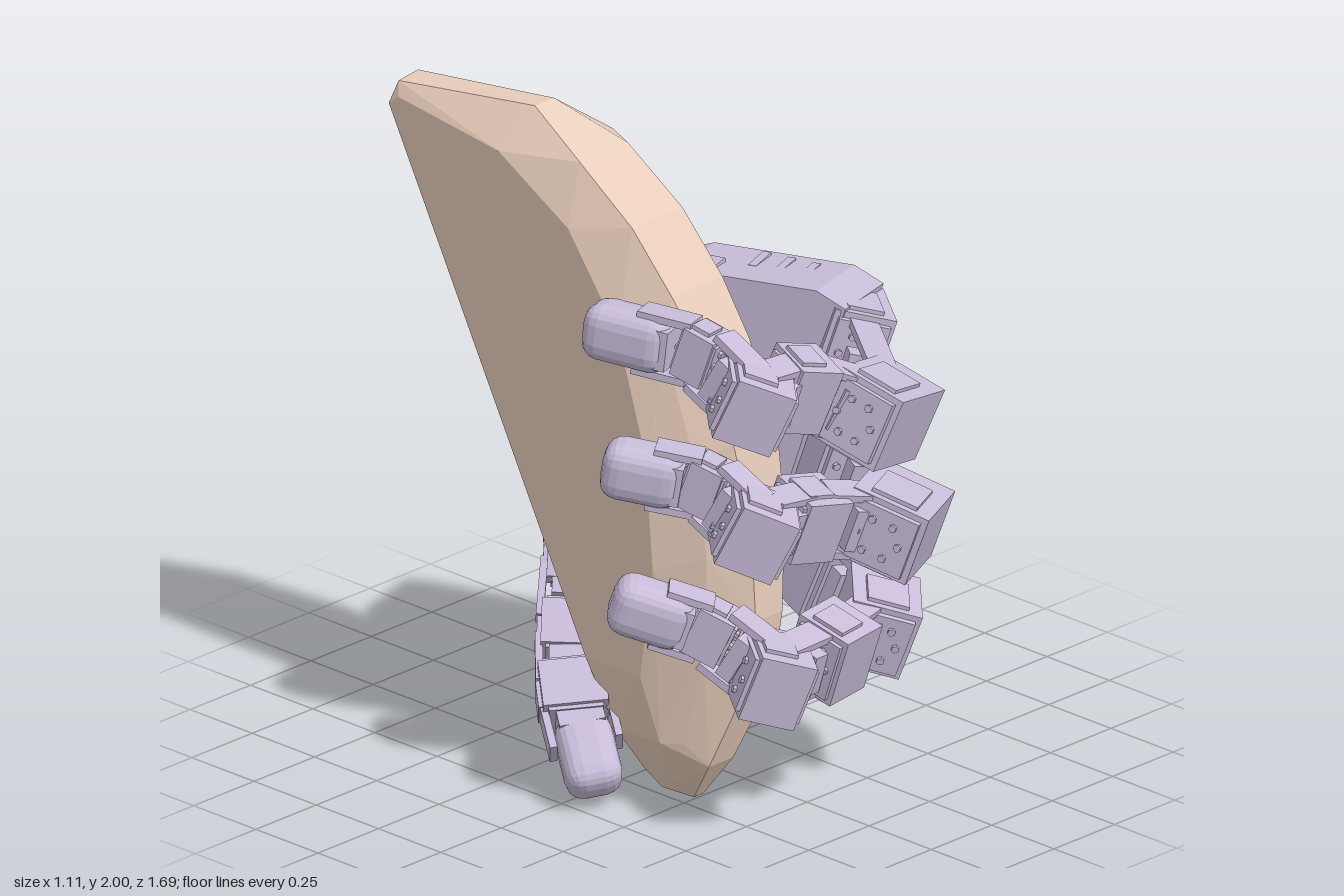
import * as THREE from 'three';
import { ConvexGeometry } from 'three/addons/geometries/ConvexGeometry.js';
import { RoundedBoxGeometry } from 'three/addons/geometries/RoundedBoxGeometry.js';

const lilac = new THREE.MeshStandardMaterial({ color: 0xc8bcd9, flatShading: true });
const tan = new THREE.MeshStandardMaterial({ color: 0xe8cdbb, flatShading: true });
const V = (a) => new THREE.Vector3(...a);

// directions of the palm: outward normal and the axis across the knuckles
const OUT = V([1, -0.074, -0.345]).normalize();
const ACROSS = V([0.156, 0.89, 0.26]).normalize();

function add(parent, name, geometry, material, pos = [0, 0, 0]) {
  const mesh = new THREE.Mesh(geometry, material);
  mesh.name = name;
  mesh.position.set(...pos);
  parent.add(mesh);
  return mesh;
}

// turn an object so its local z follows dir and its local y stays near up
function orient(object, pos, dir, up) {
  const z = dir.clone().normalize();
  const x = new THREE.Vector3().crossVectors(up, z).normalize();
  const y = new THREE.Vector3().crossVectors(z, x);
  object.quaternion.setFromRotationMatrix(new THREE.Matrix4().makeBasis(x, y, z));
  object.position.copy(pos);
}

// half-round held piece: flat on one side, bulging on the other
function heldPiece() {
  const points = [
    // flat side
    [-0.35, 1.93, -0.8], [-0.35, 1.9, -0.84], [-0.35, 1.88, -0.4], [-0.35, 1.72, -0.12],
    [-0.35, 1.45, 0.08], [-0.35, 1.1, 0.19], [-0.35, 0.75, 0.22], [-0.35, 0.4, 0.17],
    [-0.35, 0.4, -0.05], [-0.32, 0.2, 0.22], [-0.33, 0.2, 0.05], [-0.28, 0.08, 0.12],
    // bevel between the flat side and the front rim
    [-0.29, 1.4, 0.22], [-0.28, 1.1, 0.32], [-0.27, 0.8, 0.36], [-0.27, 0.5, 0.35], [-0.28, 0.2, 0.28],
    // straight back edge
    [-0.25, 1.91, -0.84], [-0.25, 1.98, -0.82], [-0.33, 1.97, -0.82], [-0.17, 1.08, -0.41],
    [-0.17, 0.5, -0.1], [-0.17, 0.12, 0.1],
    // bulging side
    [-0.02, 1.73, -0.42], [0.0, 1.88, -0.28], [0.05, 1.65, -0.08], [0.04, 1.45, -0.24],
    [0.05, 1.4, 0.08], [0.05, 1.1, 0.22], [0.05, 1.05, -0.06], [0.04, 0.8, 0.28],
    [0.03, 0.75, 0.08], [0, 0.4, 0.29], [-0.01, 0.4, 0.13], [-0.08, 0.15, 0.26],
  ];
  // rounded front rim: [y, z, left x, right x]
  const rim = [
    [0, 0.24, -0.2, -0.16], [0.03, 0.17, -0.26, -0.15], [0.13, 0.33, -0.23, -0.13], [0.37, 0.42, -0.18, -0.06],
    [0.6, 0.45, -0.16, -0.05], [0.9, 0.44, -0.17, -0.03], [1.15, 0.4, -0.2, -0.02],
    [1.4, 0.3, -0.22, -0.03], [1.57, 0.2, -0.25, -0.04], [1.75, 0.06, -0.27, -0.06],
    [1.9, -0.14, -0.28, -0.08], [2, -0.36, -0.24, -0.16],
  ];
  for (const [y, z, l, r] of rim) points.push([l, y, z], [r, y, z]);
  return new ConvexGeometry(points.map(V));
}

// point on the outer palm plane
const palmX = (z, y) => 0.53 + 0.345 * (z - 0.28) + 0.074 * (y - 1.4);

function makePalm() {
  const palm = new THREE.Group();
  palm.name = 'palm';
  const outline = [
    [0.29, 1.4], [0.2, 1.44], [-0.22, 1.43], [-0.3, 1.4], [-0.34, 1.32], [-0.53, 0.71], [0.02, 0.51], [0.07, 0.54],
  ];
  const points = [];
  for (const [z, y] of outline) {
    const p = V([palmX(z, y), y, z]);
    points.push(p, p.clone().addScaledVector(OUT, -0.26));
  }
  add(palm, 'palmShell', new ConvexGeometry(points), lilac);
  // screws on the outer face
  for (const [z, y] of [[0.22, 1.36], [-0.3, 1.32], [-0.46, 0.75], [0.03, 0.58]]) {
    const screw = add(palm, 'palmScrew', new THREE.CylinderGeometry(0.013, 0.013, 0.012, 8), lilac);
    screw.position.set(palmX(z, y), y, z);
    screw.quaternion.setFromUnitVectors(V([0, 1, 0]), OUT);
  }
  // lug, bracket and ribs on the top edge
  add(palm, 'topLug', new THREE.BoxGeometry(0.055, 0.12, 0.05), lilac, [0.1, 1.46, -0.06]);
  const bracket = add(palm, 'topBracket', new THREE.BoxGeometry(0.18, 0.05, 0.08), lilac, [0.16, 1.43, -0.09]);
  bracket.rotation.y = 0.3;
  for (let i = 0; i < 3; i++) {
    const rib = add(palm, 'topRib', new THREE.BoxGeometry(0.11, 0.03, 0.025), lilac, [0.34 + 0.02 * i, 1.43, -0.02 + 0.08 * i]);
    rib.rotation.y = 0.35;
  }
  return palm;
}

// one motor: body, recessed end caps with a bolt ring, and a cover on each side
function motor(name, w, h, l) {
  const g = new THREE.Group();
  g.name = name;
  add(g, 'motorBody', new THREE.BoxGeometry(w, h, l * 0.86), lilac);
  for (const s of [-1, 1]) {
    add(g, 'endCap', new THREE.BoxGeometry(w * 0.84, h * 0.84, l * 0.08), lilac, [0, 0, s * l * 0.46]);
    add(g, 'sideCover', new THREE.BoxGeometry(w * 0.6, 0.014, l * 0.5), lilac, [0, s * (h / 2 + 0.005), l * 0.1]);
    for (let i = 0; i < 6; i++) {
      const a = (i * Math.PI) / 3;
      const bolt = add(g, 'capBolt', new THREE.CylinderGeometry(0.012, 0.012, 0.02, 6), lilac,
        [Math.cos(a) * w * 0.27, Math.sin(a) * h * 0.27, s * l * 0.5]);
      bolt.rotation.x = Math.PI / 2;
    }
  }
  return g;
}

// U-shaped link between two motors
function bracketLink(a, b, h, up) {
  const g = new THREE.Group();
  g.name = 'jointBracket';
  const d = b.clone().sub(a), l = d.length();
  for (const s of [-1, 1]) {
    add(g, 'bracketArm', new THREE.BoxGeometry(0.09, 0.022, l * 0.75), lilac, [0, s * (h / 2 + 0.012), 0]);
  }
  add(g, 'bracketWeb', new THREE.BoxGeometry(0.13, h * 0.8, 0.05), lilac);
  orient(g, a.clone().lerp(b, 0.5), d, up);
  return g;
}

// chain of motors [x, y, z, width, height, length] ending in a rounded pad
function finger(name, parts, up) {
  const g = new THREE.Group();
  g.name = name;
  const c = parts.map((p) => V(p.slice(0, 3)));
  const last = parts.length - 1;
  const step = (i) => c[i + 1].clone().sub(c[i]).normalize();
  parts.forEach(([, , , w, h, l], i) => {
    // each part bisects the bend between its neighbours
    const dir = step(Math.max(i - 1, 0)).add(step(Math.min(i, last - 1)));
    if (i === last) {
      const tip = add(g, 'fingertip', new RoundedBoxGeometry(w, h, l, 2, 0.055), lilac);
      orient(tip, c[i], dir, up);
    } else {
      const m = motor('motor', w, h, l);
      orient(m, c[i], dir, up);
      g.add(m, bracketLink(c[i], c[i + 1], Math.min(h, 0.17), up));
    }
  });
  return g;
}

export function createModel() {
  const model = new THREE.Group();
  model.name = 'handHoldingPiece';
  add(model, 'heldPiece', heldPiece(), tan);
  model.add(makePalm());

  model.add(finger('upperFinger', [
    [0.38, 1.28, 0.29, 0.19, 0.25, 0.24], [0.11, 1.24, 0.68, 0.22, 0.23, 0.31], [-0.11, 1.35, 0.57, 0.16, 0.21, 0.17],
    [-0.31, 1.37, 0.58, 0.2, 0.2, 0.21], [-0.32, 1.47, 0.39, 0.13, 0.15, 0.12], [-0.4, 1.49, 0.18, 0.16, 0.17, 0.27],
  ], ACROSS));
  model.add(finger('middleFinger', [
    [0.34, 0.95, 0.28, 0.19, 0.25, 0.24], [0.19, 0.87, 0.66, 0.24, 0.22, 0.29], [-0.09, 0.94, 0.58, 0.17, 0.2, 0.19],
    [-0.32, 0.98, 0.6, 0.2, 0.2, 0.21], [-0.33, 1.07, 0.42, 0.13, 0.15, 0.12], [-0.44, 1.1, 0.27, 0.16, 0.17, 0.24],
  ], ACROSS));
  model.add(finger('lowerFinger', [
    [0.3, 0.6, 0.25, 0.19, 0.24, 0.26], [0.24, 0.51, 0.54, 0.21, 0.22, 0.25], [-0.01, 0.51, 0.61, 0.18, 0.22, 0.2],
    [-0.27, 0.51, 0.62, 0.2, 0.21, 0.2], [-0.33, 0.62, 0.44, 0.13, 0.15, 0.13], [-0.45, 0.68, 0.31, 0.16, 0.17, 0.24],
  ], ACROSS));
  model.add(finger('thumb', [
    [-0.06, 0.79, -0.35, 0.13, 0.16, 0.16], [-0.12, 0.58, -0.3, 0.17, 0.18, 0.19], [-0.24, 0.4, -0.21, 0.16, 0.18, 0.16],
    [-0.35, 0.27, -0.1, 0.17, 0.19, 0.17], [-0.43, 0.14, 0.04, 0.14, 0.17, 0.24],
  ], V([-1, 0, -1])));
  return model;
}
